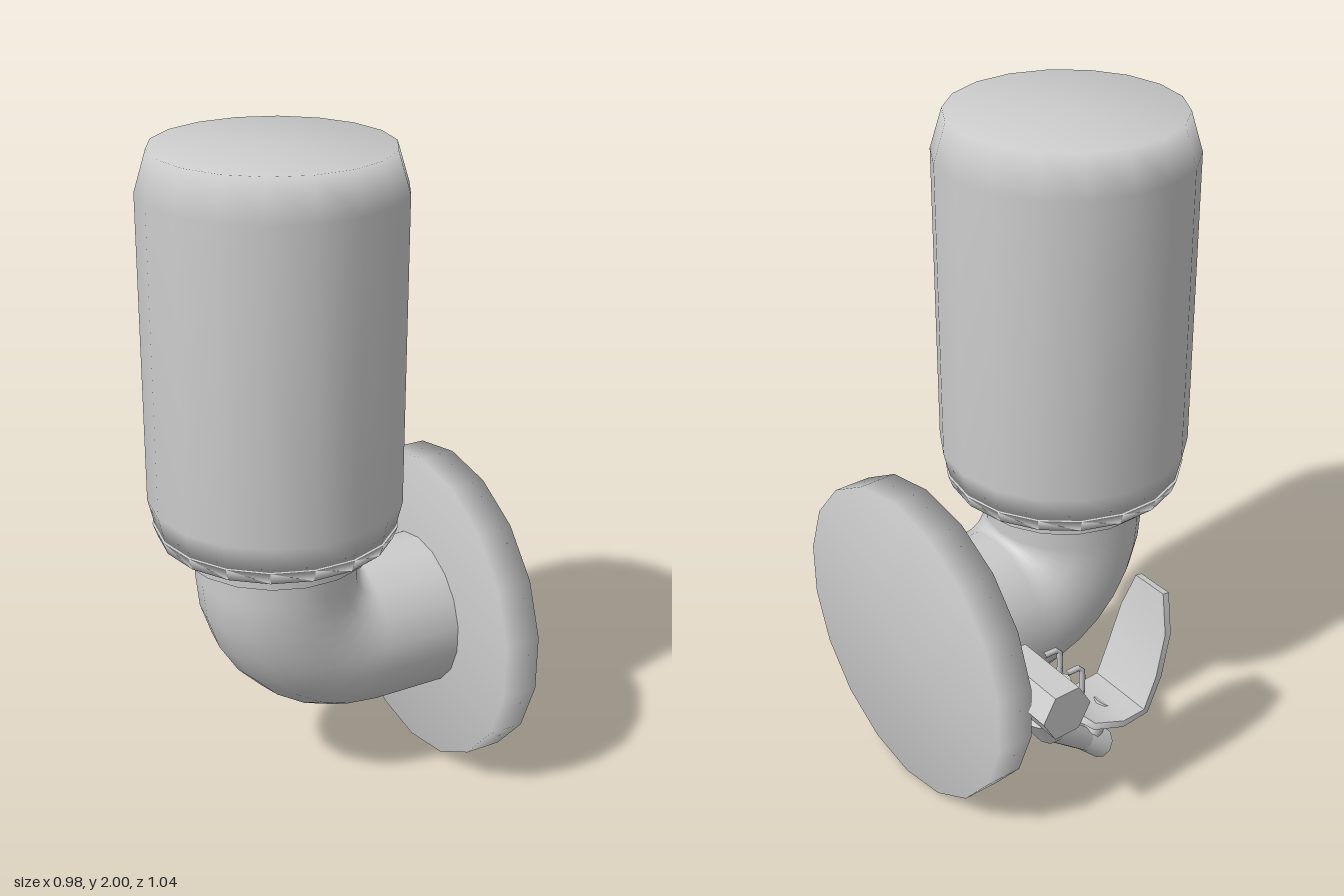
import * as THREE from 'three';
import { mergeVertices, toCreasedNormals } from 'three/addons/utils/BufferGeometryUtils.js';

const SIDES = 18;
const CZ = 0.035;   // depth of the main axis
const TAP_Z = -0.397; // depth of the tap

export function createModel() {
  const model = new THREE.Group();
  model.name = 'elbowPipeWithTap';
  const material = new THREE.MeshStandardMaterial({ color: 0xcccccc });
  const doubleSided = new THREE.MeshStandardMaterial({ color: 0xcccccc, side: THREE.DoubleSide });

  function add(name, geometry, x, y, z, mat = material) {
    const mesh = new THREE.Mesh(geometry, mat);
    mesh.name = name;
    mesh.position.set(x, y, z);
    model.add(mesh);
    return mesh;
  }
  // Smooth turned form from [radius, height] pairs, corner pointing to +x
  function turned(points, sides = SIDES) {
    return new THREE.LatheGeometry(points.map(p => new THREE.Vector2(p[0], p[1])), sides).rotateY(Math.PI / 2);
  }
  // Tapered rod between two points
  function rod(name, a, b, r0, r1, sides = 8, open = false) {
    const from = new THREE.Vector3(...a), to = new THREE.Vector3(...b);
    const dir = to.clone().sub(from);
    const mid = from.clone().add(to).multiplyScalar(0.5);
    const mesh = add(name, new THREE.CylinderGeometry(r1, r0, dir.length(), sides, 1, open),
      mid.x, mid.y, mid.z, open ? doubleSided : material);
    mesh.quaternion.setFromUnitVectors(new THREE.Vector3(0, 1, 0), dir.normalize());
    return mesh;
  }

  // Upright barrel, its lower lip and the collar under it
  add('barrel', turned([[0, 0.9], [0.35, 0.905], [0.37, 0.99], [0.37, 1.885], [0.335, 2], [0, 2]]), -0.12, 0, CZ);
  add('barrelLip', turned([[0, 0.873], [0.344, 0.873], [0.358, 0.912], [0, 0.912]]), -0.12, 0, CZ);
  add('collar', new THREE.CylinderGeometry(0.285, 0.285, 0.055, SIDES).rotateY(Math.PI / 2), -0.12, 0.848, CZ);

  // Elbow: upright neck, quarter bend, level neck
  const neck = h => new THREE.CylinderGeometry(0.24, 0.24, h, SIDES, 1, true).rotateY(Math.PI / 2);
  add('elbowUpperNeck', neck(0.1), -0.12, 0.79, CZ, doubleSided);
  add('elbowBend', new THREE.TorusGeometry(0.26, 0.24, SIDES, 7, Math.PI / 2).rotateZ(Math.PI), 0.14, 0.74, CZ);
  add('elbowSideNeck', neck(0.25).rotateZ(Math.PI / 2), 0.265, 0.48, CZ, doubleSided);

  // Round wall plate
  add('wallPlate', turned([[0, -0.057], [0.492, -0.057], [0.492, 0.057], [0, 0.057]]).rotateZ(Math.PI / 2),
    0.431, 0.495, CZ);

  // Tap mount, stem and six-sided body, reaching backwards from the elbow
  rod('tapMount', [0.298, 0.5, -0.18], [0.298, 0.5, -0.248], 0.058, 0.058, 10);
  rod('tapStem', [0.298, 0.5, -0.19], [0.298, 0.5, -0.28], 0.02, 0.02);
  add('tapBody', toCreasedNormals(new THREE.CylinderGeometry(0.083, 0.083, 0.247, 6)
    .rotateY(Math.PI / 2).rotateX(Math.PI / 2), 0.5), 0.302, 0.502, -0.396);

  // Funnel and spout running down from the body to the nozzle
  rod('tapFunnel', [0.295, 0.44, TAP_Z], [0.26, 0.33, TAP_Z], 0.075, 0.042);
  rod('spout', [0.265, 0.35, TAP_Z], [0.12, 0.225, TAP_Z], 0.042, 0.034);
  rod('nozzle', [0.14, 0.245, TAP_Z], [0.075, 0.195, TAP_Z], 0.036, 0.046, 10, true);
  rod('leverPost', [0.115, 0.24, TAP_Z], [0.06, 0.345, TAP_Z], 0.028, 0.034);
  rod('spoutBrace', [0.23, 0.5, TAP_Z], [0.19, 0.34, TAP_Z], 0.034, 0.034);

  // Wire loops beside the body
  for (const z of [-0.437, -0.335]) {
    const path = new THREE.CatmullRomCurve3([[0.24, 0.56], [0.185, 0.555], [0.185, 0.45], [0.24, 0.44]]
      .map(p => new THREE.Vector3(p[0], p[1], z)), false, 'catmullrom', 0.2);
    add('wireLoop', new THREE.TubeGeometry(path, 10, 0.009, 6), 0, 0, 0);
  }

  // Lever: a flat paddle bending up into a fin; stations are x, y, half width
  const stations = [[-0.108, 0.695, 0.06], [-0.088, 0.58, 0.098], [-0.05, 0.45, 0.108], [-0.005, 0.345, 0.108],
    [0.08, 0.34, 0.108], [0.165, 0.355, 0.08], [0.182, 0.365, 0.04]];
  const last = stations.length - 1;
  let lever = new THREE.BoxGeometry(1, 1, 1, last, 1, 1);
  const pos = lever.attributes.position;
  for (let i = 0; i < pos.count; i++) {
    const k = Math.round((pos.getX(i) + 0.5) * last);
    const a = stations[Math.max(k - 1, 0)], b = stations[Math.min(k + 1, last)];
    const len = Math.hypot(b[0] - a[0], b[1] - a[1]);
    const t = pos.getY(i) * 0.022;
    const [x, y, w] = stations[k];
    pos.setXYZ(i, x - t * (b[1] - a[1]) / len, y + t * (b[0] - a[0]) / len, TAP_Z + pos.getZ(i) * 2 * w);
  }
  lever.deleteAttribute('uv');
  lever.deleteAttribute('normal');
  lever = mergeVertices(lever);
  lever.computeVertexNormals();
  add('lever', toCreasedNormals(lever, 0.9), 0, 0, 0);

  return model;
}
